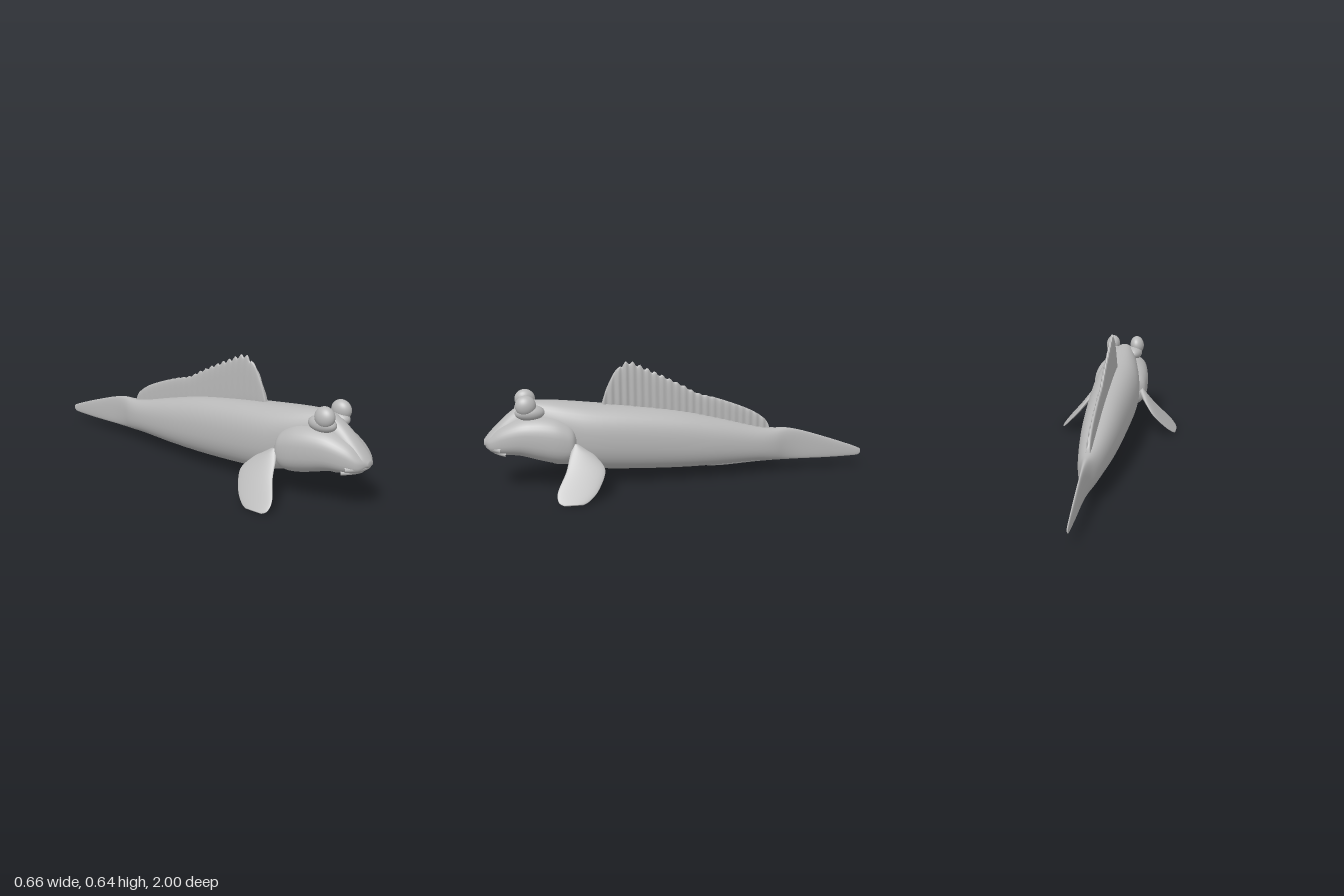
import * as THREE from 'three';

const V = (x, y, z) => new THREE.Vector3(x, y, z);

// Smoothly resample rows of numbers, n steps between neighbours
function smooth(rows, n) {
  const out = [];
  const at = i => rows[Math.min(Math.max(i, 0), rows.length - 1)];
  for (let i = 0; i < rows.length - 1; i++) {
    for (let k = 0; k < n; k++) {
      const t = k / n;
      out.push(rows[i].map((_, c) => {
        const [p, q, r, s] = [at(i - 1)[c], at(i)[c], at(i + 1)[c], at(i + 2)[c]];
        return q + 0.5 * t * (r - p + t * (2 * p - 5 * q + 4 * r - s + t * (3 * (q - r) + s - p)));
      }));
    }
  }
  out.push(rows[rows.length - 1]);
  return out;
}

// Closed skin over rounded sections: centre c, half axes a and b, squareness n
function loft(sections, sides = 40) {
  const pos = [], index = [];
  for (const { c, a, b, n = 2 } of sections) {
    for (let j = 0; j < sides; j++) {
      const t = (j / sides) * Math.PI * 2;
      const f = v => Math.sign(v) * Math.abs(v) ** (2 / n);
      const p = c.clone().addScaledVector(a, f(Math.cos(t))).addScaledVector(b, f(Math.sin(t)));
      pos.push(p.x, p.y, p.z);
    }
  }
  const last = sections.length - 1;
  const first = sections[0].c, end = sections[last].c;
  const capA = pos.length / 3, capB = capA + 1;
  pos.push(first.x, first.y, first.z, end.x, end.y, end.z);
  for (let j = 0; j < sides; j++) {
    const k = (j + 1) % sides;
    for (let i = 0; i < last; i++) {
      const p = i * sides, q = p + sides;
      index.push(p + j, q + j, p + k, p + k, q + j, q + k);
    }
    index.push(capA, j, k, capB, last * sides + k, last * sides + j);
  }
  const g = new THREE.BufferGeometry();
  g.setAttribute('position', new THREE.Float32BufferAttribute(pos, 3));
  g.setIndex(index);
  g.computeVertexNormals();
  return g;
}

// Upright sections along z from rows of [z, half width, bottom, top]
const upright = (rows, n) => rows.map(([z, w, lo, hi]) => ({
  c: V(0, (lo + hi) / 2, z), a: V(Math.max(w, 0.001), 0, 0), b: V(0, (hi - lo) / 2, 0), n,
}));

export function createModel() {
  const model = new THREE.Group();
  const skin = new THREE.MeshStandardMaterial({ color: 0xb8b8b8 });
  skin.name = 'grey skin';
  const add = (name, geometry) => {
    const m = new THREE.Mesh(geometry, skin);
    m.name = name;
    model.add(m);
    return m;
  };

  // Body from snout ridge to tail tip
  add('bodyAndTail', loft(upright(smooth([
    [0.998, 0.02, 0.24, 0.265], [0.97, 0.045, 0.22, 0.3], [0.91, 0.056, 0.21, 0.362],
    [0.84, 0.06, 0.205, 0.42], [0.77, 0.068, 0.2, 0.456], [0.68, 0.088, 0.17, 0.457],
    [0.57, 0.112, 0.125, 0.446], [0.44, 0.126, 0.09, 0.43], [0.25, 0.122, 0.075, 0.408],
    [0, 0.108, 0.066, 0.37], [-0.2, 0.092, 0.068, 0.323], [-0.4, 0.066, 0.075, 0.268],
    [-0.5, 0.047, 0.072, 0.25], [-0.58, 0.024, 0.07, 0.247], [-0.67, 0.012, 0.069, 0.226],
    [-0.82, 0.009, 0.067, 0.176], [-0.94, 0.006, 0.069, 0.132], [-0.985, 0.005, 0.072, 0.113],
    [-1, 0.003, 0.083, 0.104],
  ], 5), 2.25)));

  // Broad cheeks and gill covers, ending in a step behind the head
  add('cheeksAndGillCovers', loft(upright(smooth([
    [0.99, 0.025, 0.24, 0.262], [0.965, 0.066, 0.208, 0.29], [0.91, 0.096, 0.192, 0.34],
    [0.82, 0.125, 0.183, 0.383], [0.73, 0.143, 0.157, 0.397], [0.65, 0.153, 0.137, 0.392],
    [0.595, 0.152, 0.133, 0.374], [0.56, 0.144, 0.15, 0.35], [0.542, 0.12, 0.18, 0.32],
  ], 5), 2.6)));

  // Lips following the blunt snout
  const lip = (name, y, z, half, r) => add(name, new THREE.TubeGeometry(
    new THREE.CatmullRomCurve3([-1, -0.75, -0.4, 0, 0.4, 0.75, 1].map(
      u => V(u * half, y - 0.008 * u * u, z - 0.065 * u * u))), 32, r, 10));
  lip('upperLip', 0.235, 0.978, 0.085, 0.014);
  lip('lowerLip', 0.211, 0.952, 0.078, 0.012);

  for (const s of [1, -1]) {
    const side = s > 0 ? 'left' : 'right';

    // Bulging eye on a raised socket
    const eye = add(side + 'Eye', new THREE.SphereGeometry(1, 32, 24));
    eye.scale.set(0.039, 0.051, 0.052);
    eye.position.set(s * 0.071, 0.45, 0.785);
    eye.rotation.z = s * 0.12;
    const socket = add(side + 'EyeSocket', new THREE.SphereGeometry(1, 28, 20));
    socket.scale.set(0.045, 0.04, 0.075);
    socket.position.set(s * 0.058, 0.41, 0.765);

    // Pectoral fin sloping out and down: rows of [y, front z, back z, thickness]
    const normal = V(1, 0.83, 0).normalize().multiplyScalar(s);
    normal.y *= s;
    add(side + 'PectoralFin', loft(smooth([
      [0.25, 0.56, 0.53, 0.014], [0.225, 0.572, 0.49, 0.015], [0.2, 0.582, 0.452, 0.014],
      [0.14, 0.604, 0.41, 0.011], [0.064, 0.65, 0.448, 0.008], [0.022, 0.65, 0.495, 0.006],
      [0.006, 0.625, 0.53, 0.005],
    ], 5).map(([y, f, b, t]) => ({
      c: V(s * (0.15 + (0.22 - y) * 0.83), y, (f + b) / 2),
      a: V(0, 0, (f - b) / 2),
      b: V(normal.x, normal.y * s, 0).multiplyScalar(t * s * s),
    })).map(k => (s > 0 ? k : { ...k, b: V(k.b.x, k.b.y, 0).set(-Math.abs(k.b.x), Math.abs(k.b.y), 0).negate() })), 32));
  }

  // Tall rippled dorsal fin with notched spines at the front: rows of [z, top]
  add('dorsalFin', loft(smooth([
    [0.402, 0.42], [0.39, 0.46], [0.37, 0.515], [0.33, 0.59], [0.29, 0.622], [0.25, 0.632],
    [0.175, 0.598], [0.08, 0.552], [-0.02, 0.5], [-0.1, 0.456], [-0.19, 0.43],
    [-0.3, 0.39], [-0.39, 0.35], [-0.45, 0.31], [-0.475, 0.28], [-0.487, 0.245],
  ], 10).map(([z, top]) => {
    const notch = z < 0.3 ? 0.009 * Math.max(0, Math.min(1, (z + 0.25) / 0.4)) : 0;
    const hi = top + notch * Math.sin(z * 165);
    const lo = 0.33 + (z - 0.1) * 0.22;
    return {
      c: V(0.0015 * Math.sin(z * 165), (lo + hi) / 2, z),
      a: V(0.0105 + 0.0018 * Math.sin(z * 165), 0, 0),
      b: V(0, (hi - lo) / 2, 0), n: 3,
    };
  }), 28));

  // Low fin under the belly
  add('analFin', loft(upright(smooth([
    [-0.11, 0.004, 0.07, 0.09], [-0.15, 0.011, 0.06, 0.1], [-0.22, 0.012, 0.057, 0.1],
    [-0.31, 0.011, 0.061, 0.1], [-0.42, 0.009, 0.067, 0.1], [-0.54, 0.004, 0.07, 0.09],
  ], 5), 2), 20));

  return model;
}
